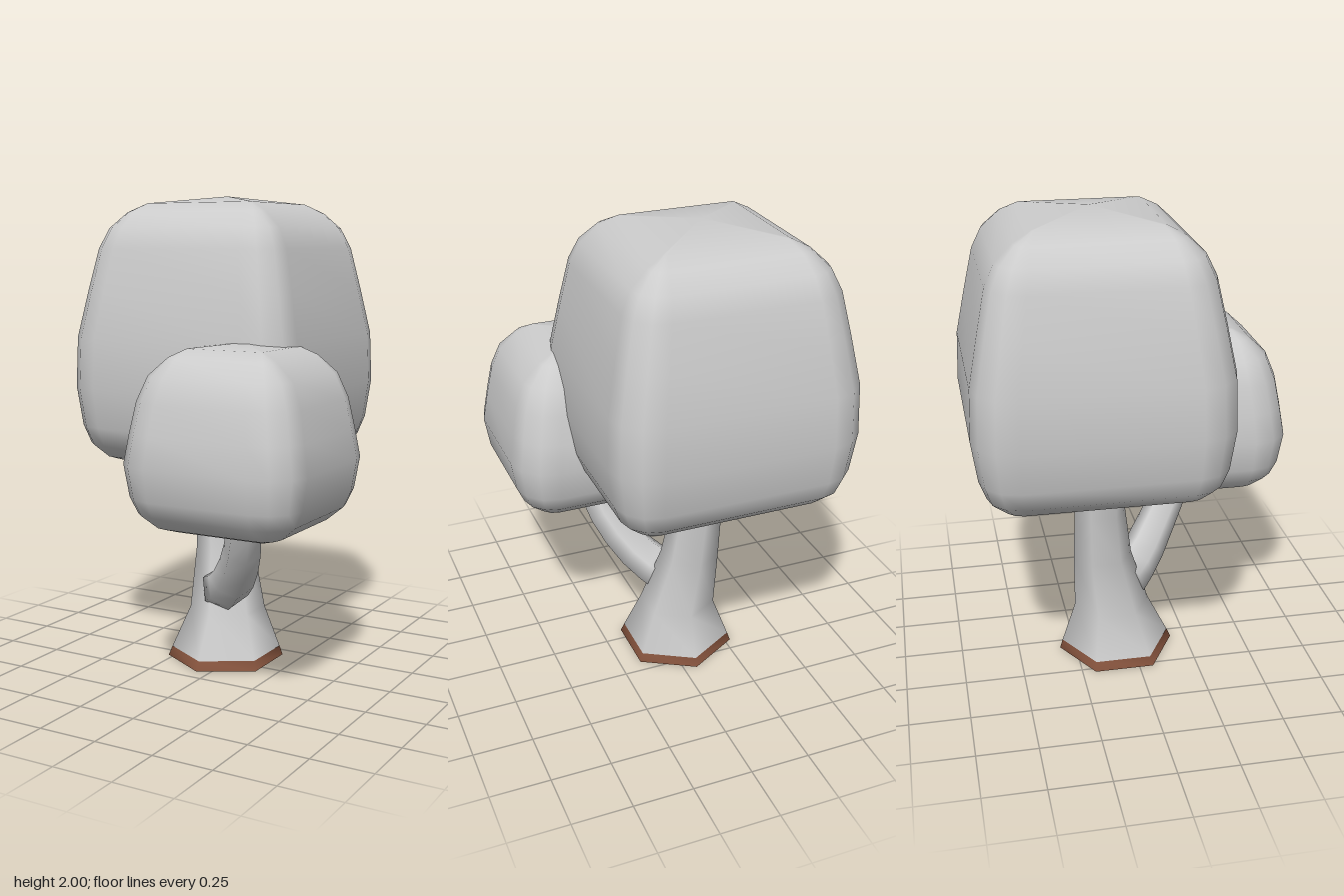
import * as THREE from 'three';

const grey = new THREE.MeshStandardMaterial({ color: 0xcccccc });
const greyOpen = new THREE.MeshStandardMaterial({ color: 0xcccccc, side: THREE.DoubleSide });
const brown = new THREE.MeshStandardMaterial({ color: 0x85533d, side: THREE.DoubleSide });

// Skin a stack of equal-sized rings; optional apex points close the ends.
function loft(rings, bottom, top) {
  const n = rings[0].length;
  const points = rings.flat();
  const index = [];
  for (let r = 0; r < rings.length - 1; r++) {
    for (let i = 0; i < n; i++) {
      const j = (i + 1) % n, a = r * n, b = a + n;
      index.push(a + i, b + i, b + j, a + i, b + j, a + j);
    }
  }
  const last = (rings.length - 1) * n;
  if (bottom) {
    points.push(bottom);
    for (let i = 0; i < n; i++) index.push(points.length - 1, i, (i + 1) % n);
  }
  if (top) {
    points.push(top);
    for (let i = 0; i < n; i++) index.push(points.length - 1, last + (i + 1) % n, last + i);
  }
  const geometry = new THREE.BufferGeometry().setFromPoints(points);
  geometry.setIndex(index);
  geometry.computeVertexNormals();
  return geometry;
}

// Rounded square ring: half width h, straight half length s, 3 facets per corner.
function roundedSquare(cx, cz, y, h, s) {
  const ring = [];
  for (let c = 0; c < 4; c++) {
    const mid = Math.PI / 4 + c * Math.PI / 2;
    for (let k = 0; k <= 3; k++) {
      const a = c * Math.PI / 2 + k * Math.PI / 6;
      ring.push(new THREE.Vector3(
        cx + Math.sign(Math.sin(mid)) * s + Math.sin(a) * (h - s), y,
        cz + Math.sign(Math.cos(mid)) * s + Math.cos(a) * (h - s)));
    }
  }
  return ring.reverse();
}

// Leaf block from a profile of [y, half width, straight half length].
function crown(cx, cz, profile, peak) {
  const rings = profile.map(([y, h, s]) => roundedSquare(cx, cz, y, h, s));
  return loft(rings, new THREE.Vector3(cx, profile[0][0], cz), new THREE.Vector3(cx, peak, cz));
}

// Six-sided ring spanned by two unit axes.
function hexRing(center, radius, u, v) {
  return Array.from({ length: 6 }, (_, i) => {
    const a = -i * Math.PI / 3;
    return center.clone()
      .addScaledVector(u, Math.sin(a) * radius)
      .addScaledVector(v, Math.cos(a) * radius);
  });
}

export function createModel() {
  const model = new THREE.Group();
  const add = (name, geometry, material) => {
    const mesh = new THREE.Mesh(geometry, material);
    mesh.name = name;
    model.add(mesh);
  };

  // Leaf blocks
  add('largeCrown', crown(-0.107, -0.173, [
    [0.87, 0.31, 0.3], [0.9, 0.4, 0.325], [0.955, 0.463, 0.335], [1.035, 0.493, 0.345],
    [1.2, 0.517, 0.35], [1.41, 0.51, 0.345], [1.6, 0.473, 0.32], [1.78, 0.435, 0.295],
    [1.865, 0.395, 0.28], [1.93, 0.325, 0.265], [1.968, 0.25, 0.24],
  ], 2), grey);
  add('smallCrown', crown(0.237, 0.304, [
    [0.685, 0.19, 0.18], [0.71, 0.27, 0.2], [0.765, 0.335, 0.212], [0.83, 0.365, 0.217],
    [0.96, 0.387, 0.22], [1.08, 0.367, 0.21], [1.2, 0.345, 0.195], [1.3, 0.305, 0.18],
    [1.37, 0.23, 0.17], [1.402, 0.165, 0.155],
  ], 1.422), grey);

  // Trunk: horizontal hexagons, flared and open at the foot
  const X = new THREE.Vector3(1, 0, 0), Z = new THREE.Vector3(0, 0, 1);
  const trunkRing = ([x, y, z, r]) => hexRing(new THREE.Vector3(x, y, z), r, X, Z);
  const foot = [-0.057, 0, -0.067, 0.252], footTop = [-0.057, 0.04, -0.07, 0.237];
  add('trunk', loft([
    footTop, [-0.057, 0.22, -0.085, 0.163], [-0.095, 0.48, -0.13, 0.125],
    [-0.12, 0.7, -0.143, 0.108], [-0.13, 0.85, -0.145, 0.108], [-0.13, 1.0, -0.15, 0.108],
  ].map(trunkRing)), greyOpen);
  add('trunkFoot', loft([foot, footTop].map(trunkRing)), brown);

  // Branch: hexagons swept along a rising curve
  const curve = new THREE.CatmullRomCurve3([
    new THREE.Vector3(-0.04, 0.32, -0.02), new THREE.Vector3(0.04, 0.37, 0.06),
    new THREE.Vector3(0.13, 0.48, 0.15), new THREE.Vector3(0.195, 0.61, 0.23),
    new THREE.Vector3(0.23, 0.75, 0.285),
  ]);
  const side = new THREE.Vector3(1, 0, -1).normalize();
  const branchRings = [];
  for (let i = 0; i <= 6; i++) {
    const t = i / 6;
    const out = side.clone().cross(curve.getTangent(t)).normalize();
    branchRings.push(hexRing(curve.getPoint(t), 0.102 - 0.034 * t, side, out.negate()));
  }
  add('branch', loft(branchRings, curve.getPoint(0), curve.getPoint(1)), greyOpen);

  return model;
}
